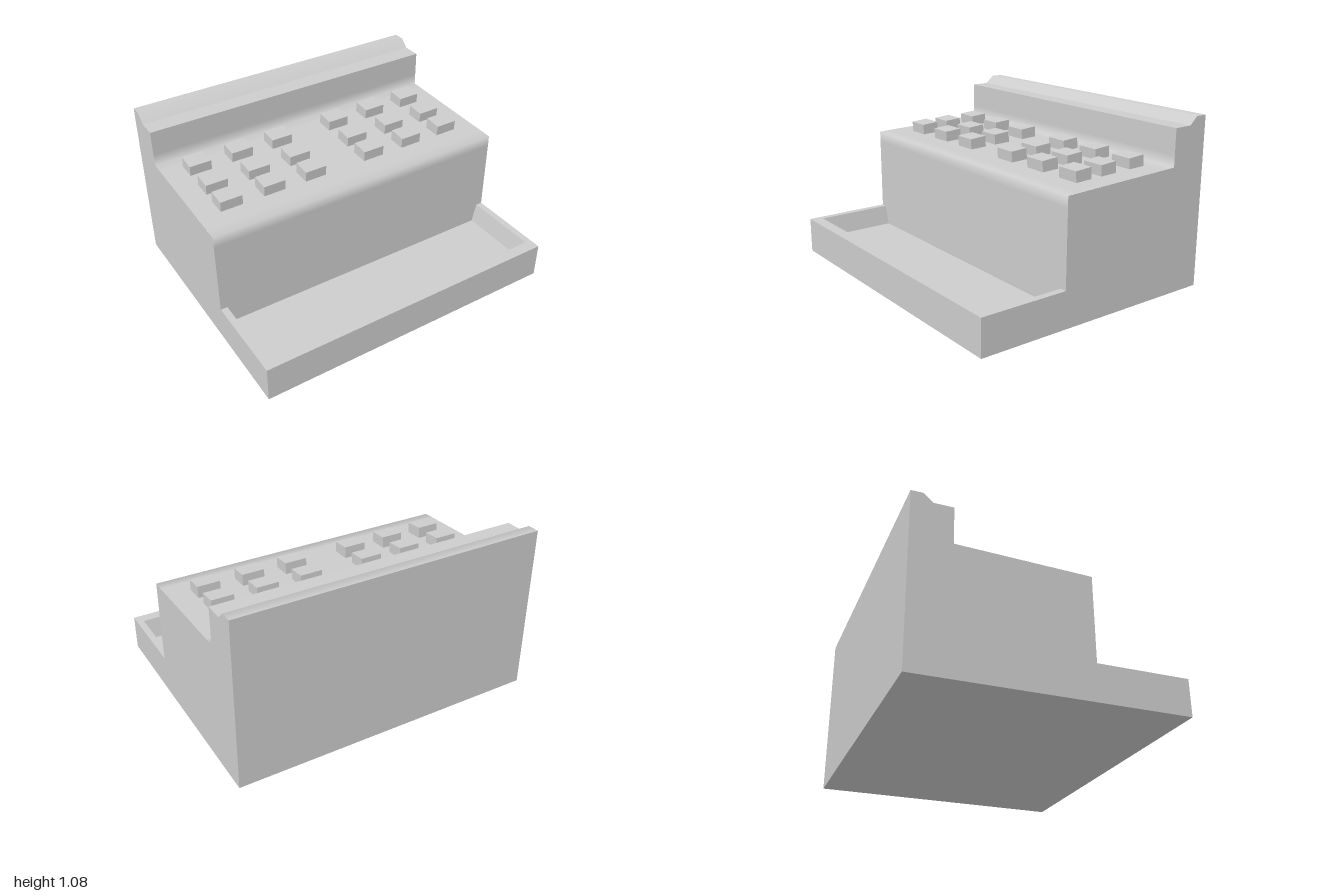
import * as THREE from 'three';

const grey = new THREE.MeshStandardMaterial({ color: 0xcccccc });
grey.name = 'light grey';

function add(group, name, geometry) {
  const mesh = new THREE.Mesh(geometry, grey);
  mesh.name = name;
  group.add(mesh);
  return mesh;
}

// Sweeps a profile of [z, y, normal angle] across the full width.
// Angle: 0 faces front, 90 up, 180 back, 270 down.
function strip(points) {
  const pos = [], nor = [], idx = [];
  points.forEach(([z, y, deg], i) => {
    const a = THREE.MathUtils.degToRad(deg);
    for (const x of [-1, 1]) {
      pos.push(x, y, z);
      nor.push(0, Math.sin(a), Math.cos(a));
    }
    if (i > 0) {
      const k = (i - 1) * 2;
      idx.push(k, k + 1, k + 3, k, k + 3, k + 2);
    }
  });
  const g = new THREE.BufferGeometry();
  g.setAttribute('position', new THREE.Float32BufferAttribute(pos, 3));
  g.setAttribute('normal', new THREE.Float32BufferAttribute(nor, 3));
  g.setIndex(idx);
  return g;
}

// Flat four-cornered faces, corners counter-clockwise.
function quads(list) {
  const pos = list.flatMap(([a, b, c, d]) => [a, b, c, a, c, d].flat());
  const g = new THREE.BufferGeometry();
  g.setAttribute('position', new THREE.Float32BufferAttribute(pos, 3));
  g.computeVertexNormals();
  return g;
}

const polygon = (pts) =>
  new THREE.ShapeGeometry(new THREE.Shape(pts.map(([x, y]) => new THREE.Vector2(x, y))));

export function createModel() {
  const model = new THREE.Group();
  model.name = 'console';
  const rimY = 0.23, floorY = 0.105, frontZ = 0.82, stepZ = 0.25, backZ = -0.82;

  // Cabinet shell, softly shaded where the deck meets its neighbours
  add(model, 'trayFront', strip([[frontZ, 0, 0], [frontZ, rimY, 0]]));
  add(model, 'cabinetFrontAndDeck', strip([
    [stepZ, floorY, 0], [stepZ, 0.7, 0], [stepZ, 0.77, 45], [0.17, 0.773, 88],
    [-0.49, 0.793, 88], [-0.57, 0.796, 45], [-0.57, 0.87, 0], [-0.57, 1.03, 0],
  ]));
  add(model, 'ledge', strip([[-0.57, 1.03, 90], [-0.69, 1.03, 90]]));
  add(model, 'ridge', strip([[-0.69, 1.03, 48], [-0.745, 1.08, 55], [backZ, 1.08, 90]]));
  add(model, 'back', strip([[backZ, 1.08, 180], [backZ, 0, 180]]));
  add(model, 'bottom', strip([[backZ, 0, 270], [frontZ, 0, 270]]));

  // Stepped side panels
  const outline = [
    [frontZ, 0], [frontZ, rimY], [stepZ, rimY], [stepZ, 0.77], [-0.57, 0.796],
    [-0.57, 1.03], [-0.69, 1.03], [-0.745, 1.08], [backZ, 1.08], [backZ, 0],
  ];
  for (const s of [1, -1]) {
    const side = polygon(outline.map(([z, y]) => [-s * z, y]));
    side.rotateY(s * Math.PI / 2).translate(s, 0, 0);
    add(model, s > 0 ? 'leftSide' : 'rightSide', side);
  }

  // Tray rim around three sides of the recess
  const rim = polygon([
    [-1, -stepZ], [-1, -frontZ], [1, -frontZ], [1, -stepZ],
    [0.957, -stepZ], [0.957, -0.745], [-0.957, -0.745], [-0.957, -stepZ],
  ]);
  add(model, 'trayRim', rim.rotateX(-Math.PI / 2).translate(0, rimY, 0));

  // Recess with sloping walls and a flat floor
  const tl = [-0.957, rimY, stepZ], tr = [0.957, rimY, stepZ];
  const tfl = [-0.957, rimY, 0.745], tfr = [0.957, rimY, 0.745];
  const bl = [-0.925, floorY, stepZ], br = [0.93, floorY, stepZ];
  const bfl = [-0.925, floorY, 0.705], bfr = [0.93, floorY, 0.705];
  add(model, 'trayRecess', quads([
    [bfl, bfr, br, bl],
    [tfl, bfl, bl, tl],
    [bfr, tfr, tr, br],
    [tfl, tfr, bfr, bfl],
  ]));

  // Two blocks of three by three keys, tilted towards the user
  const keys = new THREE.Group();
  keys.name = 'keys';
  const keyGeometry = new THREE.BoxGeometry(0.143, 0.075, 0.115);
  [[0.006, 0.81], [-0.185, 0.815], [-0.41, 0.821]].forEach(([z, y]) => {
    for (const x of [-0.787, -0.502, -0.217, 0.208, 0.497, 0.783]) {
      const key = add(keys, 'key', keyGeometry);
      key.position.set(x, y, z);
      key.rotation.x = 0.07;
    }
  });
  model.add(keys);
  return model;
}
